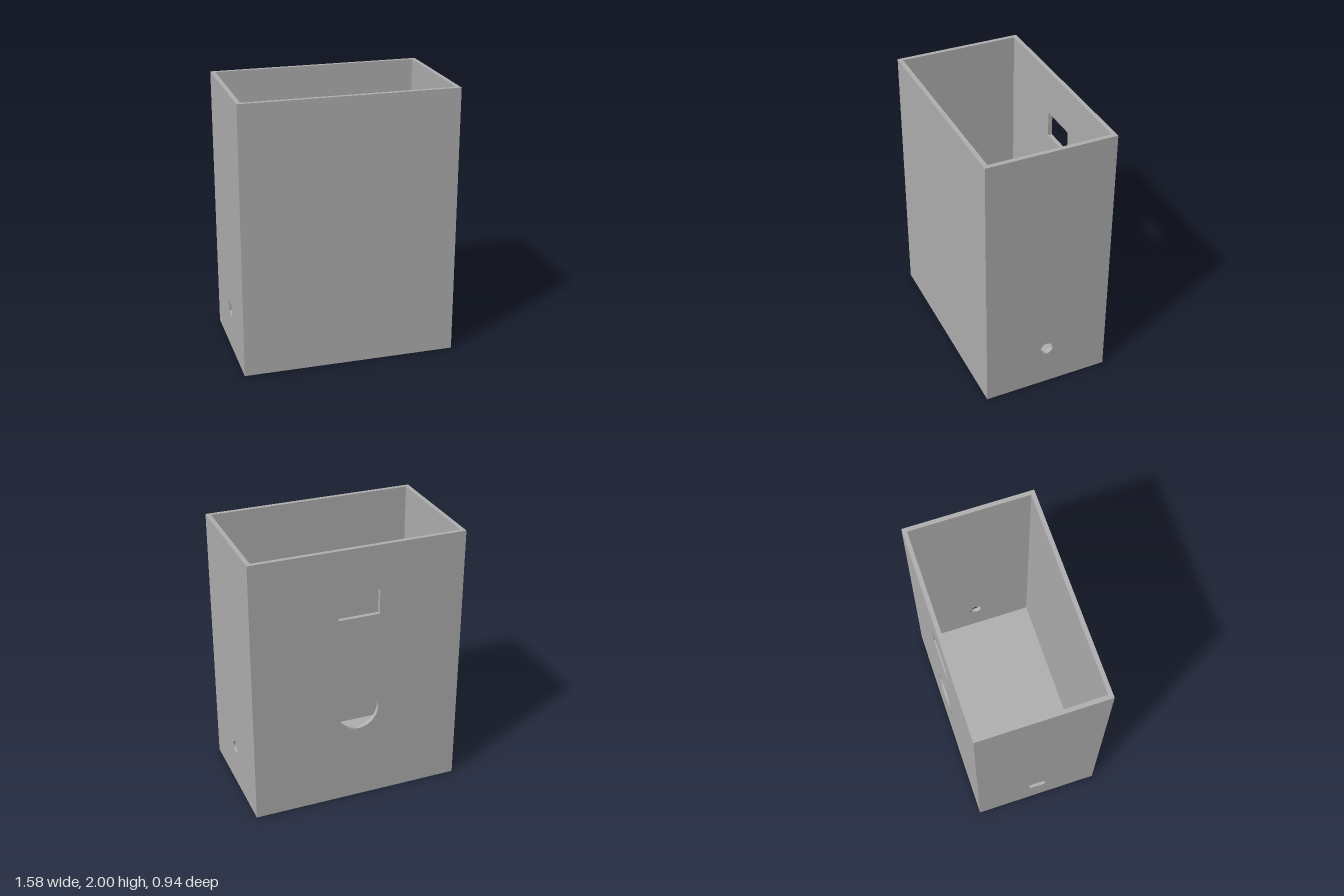
import * as THREE from 'three';

// Overall size, wall thickness
const W = 1.575, H = 2, D = 0.945, T = 0.0315;

// Upright panel standing on y = 0, centred on x and z, with cut-outs
function panel(name, width, material, holes = []) {
  const shape = new THREE.Shape();
  shape.moveTo(-width / 2, 0);
  shape.lineTo(width / 2, 0);
  shape.lineTo(width / 2, H);
  shape.lineTo(-width / 2, H);
  shape.closePath();
  shape.holes.push(...holes);
  const geo = new THREE.ExtrudeGeometry(shape, { depth: T, bevelEnabled: false, curveSegments: 32 });
  geo.translate(0, 0, -T / 2);
  const mesh = new THREE.Mesh(geo, material);
  mesh.name = name;
  return mesh;
}

function roundHole(y, r) {
  const p = new THREE.Path();
  p.absarc(0, y, r, 0, Math.PI * 2, true);
  return p;
}

function rectHole(y, w, h) {
  const p = new THREE.Path();
  p.moveTo(-w / 2, y - h / 2);
  p.lineTo(-w / 2, y + h / 2);
  p.lineTo(w / 2, y + h / 2);
  p.lineTo(w / 2, y - h / 2);
  p.closePath();
  return p;
}

export function createModel() {
  const group = new THREE.Group();
  group.name = 'openEnclosure';
  const grey = new THREE.MeshStandardMaterial({ color: 0xb0b0b0 });
  grey.name = 'grey plastic';

  // Plain front wall
  const front = panel('frontWall', W, grey);
  front.position.z = (D - T) / 2;

  // Back wall with a display window and a round opening
  const back = panel('backWall', W, grey, [rectHole(1.577, 0.305, 0.19), roundHole(0.738, 0.157)]);
  back.position.z = -(D - T) / 2;

  // Left wall with a round cable hole
  const left = panel('leftWall', D - 2 * T, grey, [roundHole(0.317, 0.047)]);
  left.rotation.y = Math.PI / 2;
  left.position.x = (W - T) / 2;

  // Right wall with a rectangular socket slot
  const right = panel('rightWall', D - 2 * T, grey, [rectHole(0.317, 0.126, 0.095)]);
  right.rotation.y = Math.PI / 2;
  right.position.x = -(W - T) / 2;

  // Floor fitted between the walls
  const floor = new THREE.Mesh(new THREE.BoxGeometry(W - 2 * T, T, D - 2 * T), grey);
  floor.name = 'floor';
  floor.position.y = T / 2;

  group.add(front, back, left, right, floor);
  return group;
}
